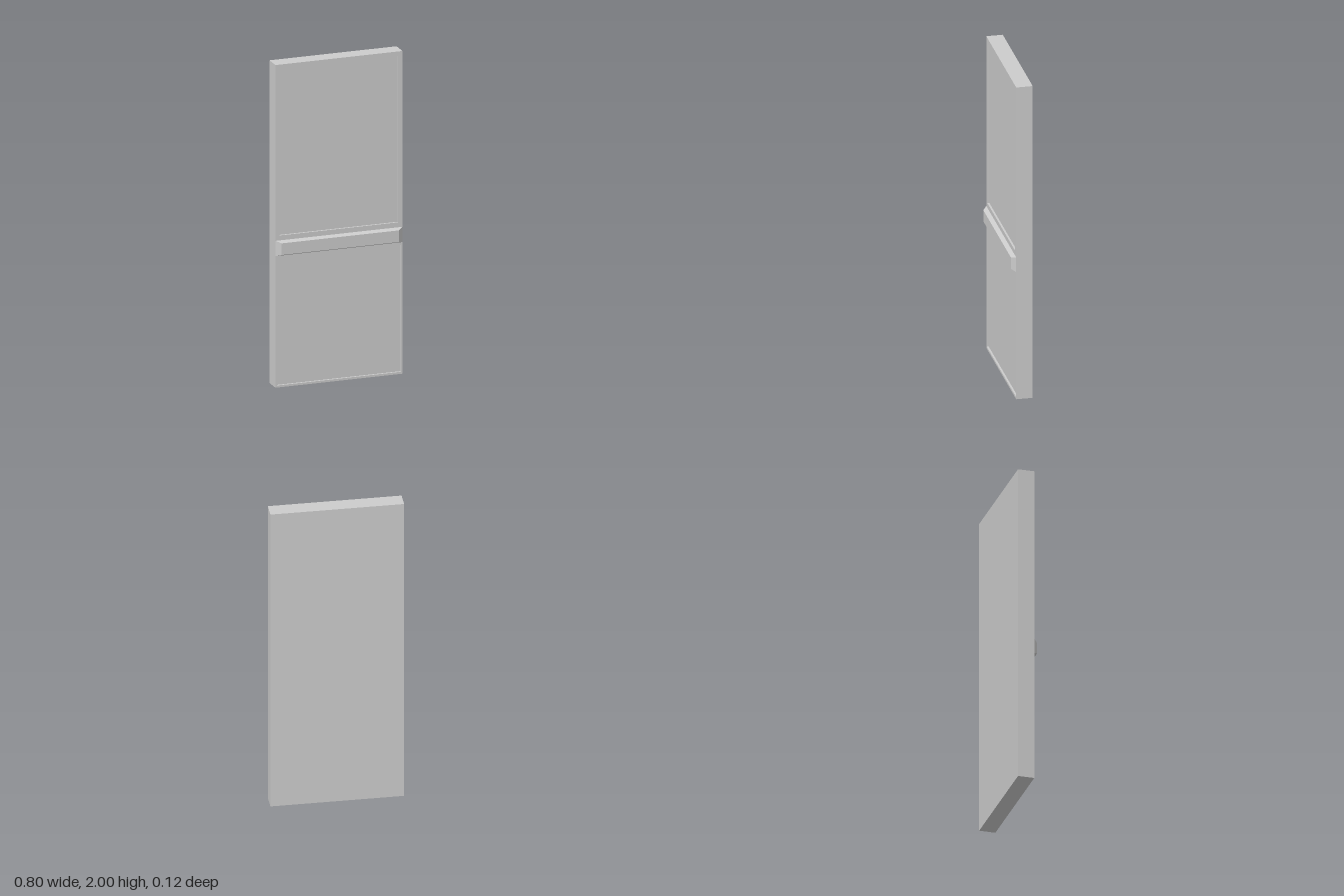
import * as THREE from 'three';

const W = 0.8, H = 2;
const BACK = -0.063, FRONT = 0.037, RECESS = 0.012, RAIL_FRONT = 0.062;

// Axis-aligned rectangle traced into a Shape or Path
function rect(path, halfWidth, y0, y1) {
  path.moveTo(-halfWidth, y0);
  path.lineTo(halfWidth, y0);
  path.lineTo(halfWidth, y1);
  path.lineTo(-halfWidth, y1);
  path.closePath();
  return path;
}

export function createModel() {
  const group = new THREE.Group();
  const material = new THREE.MeshStandardMaterial({ color: 0xcccccc, flatShading: true });
  const add = (name, geometry) => {
    const mesh = new THREE.Mesh(geometry, material);
    mesh.name = name;
    group.add(mesh);
    return mesh;
  };

  // Slab whose front forms the floor of both recessed panels
  const slabDepth = FRONT - RECESS - BACK;
  add('doorSlab', new THREE.BoxGeometry(W, H, slabDepth))
    .position.set(0, H / 2, BACK + slabDepth / 2);

  // Front frame with the upper and lower panel openings
  const outline = rect(new THREE.Shape(), W / 2, 0, H);
  outline.holes.push(
    rect(new THREE.Path(), 0.373, 0.941, 1.971),
    rect(new THREE.Path(), 0.39, 0.013, 0.8),
  );
  add('frontFrame', new THREE.ExtrudeGeometry(outline, { depth: RECESS, bevelEnabled: false }))
    .position.z = FRONT - RECESS;

  // Middle rail: a box tapered toward its front face
  const railDepth = RAIL_FRONT - FRONT, railHeight = 0.095;
  const rail = new THREE.BoxGeometry(W, railHeight, railDepth);
  const p = rail.attributes.position;
  for (let i = 0; i < p.count; i++) {
    if (p.getZ(i) > 0) {
      p.setX(i, Math.sign(p.getX(i)) * 0.37);
      p.setY(i, Math.sign(p.getY(i)) * 0.036);
    }
  }
  rail.computeVertexNormals();
  add('middleRail', rail).position.set(0, 0.863, FRONT + railDepth / 2);

  return group;
}
